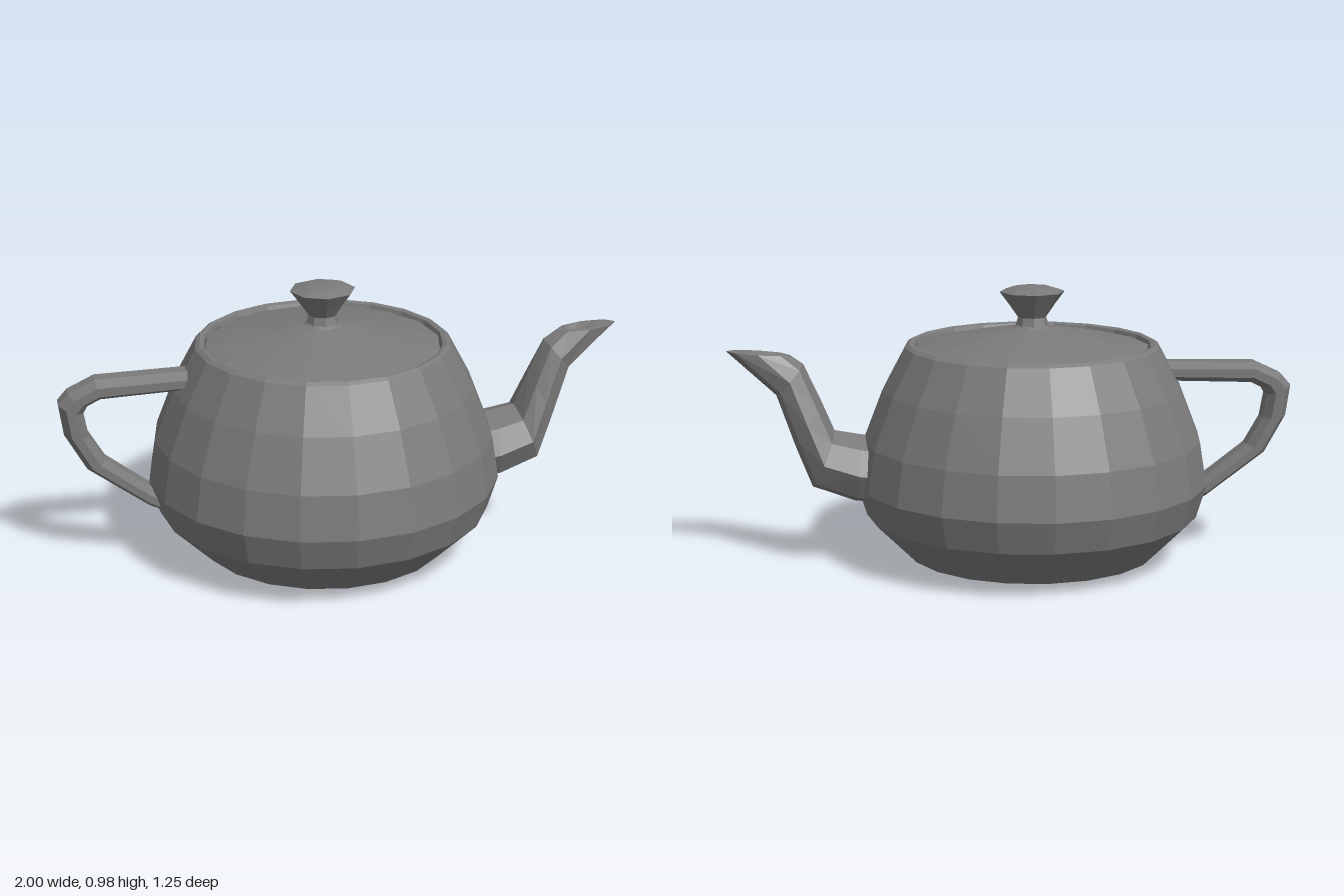
import * as THREE from 'three';

const material = new THREE.MeshStandardMaterial({ color: 0x7a7a7a, flatShading: true, side: THREE.DoubleSide });
const AXIS_X = -0.07; // the round parts share this vertical axis

function part(name, geometry) {
  const mesh = new THREE.Mesh(geometry, material);
  mesh.name = name;
  return mesh;
}

// Round part from [radius, height] pairs
function turned(name, profile, sides) {
  const geometry = new THREE.LatheGeometry(profile.map(([r, y]) => new THREE.Vector2(r, y)), sides);
  return part(name, geometry.translate(AXIS_X, 0, 0));
}

// Tube from sections [upperX, upperY, lowerX, lowerY, halfWidth];
// flat turns the sections so that a facet, not a corner, lies on top
function loft(name, sections, sides, flat) {
  const positions = [], index = [];
  const turn = flat ? Math.PI / sides : 0;
  const grow = 1 / Math.cos(turn);
  for (const [ux, uy, lx, ly, w] of sections) {
    for (let j = 0; j < sides; j++) {
      const a = turn + (j / sides) * Math.PI * 2;
      const c = Math.cos(a) * grow / 2;
      positions.push((ux + lx) / 2 + (ux - lx) * c, (uy + ly) / 2 + (uy - ly) * c, Math.sin(a) * w * grow);
    }
  }
  for (let i = 0; i < sections.length - 1; i++) {
    for (let j = 0; j < sides; j++) {
      const k = (j + 1) % sides;
      const p0 = i * sides + j, p1 = i * sides + k;
      index.push(p0, p1, p0 + sides, p1, p1 + sides, p0 + sides);
    }
  }
  const geometry = new THREE.BufferGeometry();
  geometry.setAttribute('position', new THREE.Float32BufferAttribute(positions, 3));
  geometry.setIndex(index);
  geometry.computeVertexNormals();
  return part(name, geometry);
}

export function createModel() {
  const teapot = new THREE.Group();
  teapot.name = 'teapot';

  // Base, belly and rolled rim
  teapot.add(turned('body', [
    [0, 0], [0.36, 0.01], [0.445, 0.025], [0.47, 0.05], [0.59, 0.17], [0.625, 0.285],
    [0.6, 0.44], [0.53, 0.62], [0.45, 0.77], [0.435, 0.78], [0.42, 0.775], [0.415, 0.76],
  ], 20));

  // Shallow domed lid
  teapot.add(turned('lid', [
    [0.415, 0.762], [0.36, 0.775], [0.2, 0.808], [0.07, 0.833], [0.05, 0.845],
  ], 16));

  // Flared knob
  teapot.add(turned('knob', [
    [0.06, 0.835], [0.05, 0.87], [0.085, 0.92], [0.115, 0.96], [0.07, 0.975], [0, 0.98],
  ], 8));

  // Handle, from its lower root round to the upper one
  teapot.add(loft('handle', [
    [-0.64, 0.18, -0.64, 0.25, 0.06],
    [-0.7, 0.21, -0.7, 0.285, 0.062],
    [-0.91, 0.365, -0.845, 0.395, 0.063],
    [-0.985, 0.5, -0.9, 0.49, 0.064],
    [-1, 0.61, -0.915, 0.575, 0.065],
    [-0.965, 0.65, -0.9, 0.6, 0.065],
    [-0.87, 0.695, -0.855, 0.622, 0.065],
    [-0.54, 0.703, -0.54, 0.635, 0.065],
  ], 8, true));

  // Spout, with a beaked mouth closed by a shallow hollow
  teapot.add(loft('spout', [
    [0.45, 0.45, 0.45, 0.21, 0.145],
    [0.54, 0.463, 0.56, 0.222, 0.145],
    [0.63, 0.48, 0.71, 0.278, 0.13],
    [0.68, 0.6, 0.765, 0.42, 0.1],
    [0.735, 0.72, 0.83, 0.61, 0.07],
    [0.78, 0.752, 1, 0.77, 0.05],
    [0.81, 0.757, 0.94, 0.768, 0.032],
    [0.84, 0.745, 0.84, 0.745, 0],
  ], 8, false));

  return teapot;
}
